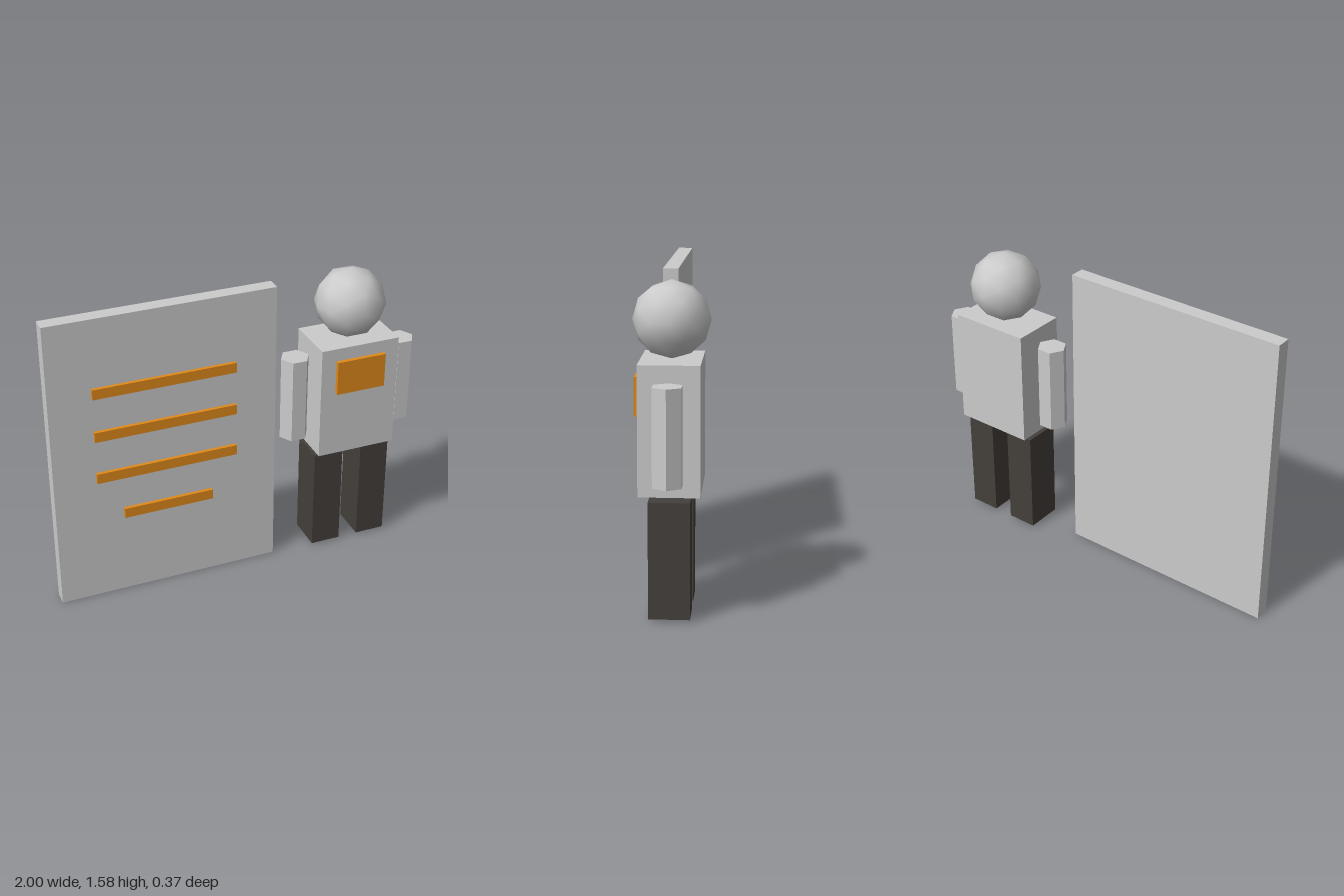
import * as THREE from 'three';

export function createModel() {
  const model = new THREE.Group();
  const grey = new THREE.MeshStandardMaterial({ color: 0xcccccc });
  const flatGrey = new THREE.MeshStandardMaterial({ color: 0xcccccc, flatShading: true });
  const orange = new THREE.MeshStandardMaterial({ color: 0xe08a1a });
  const dark = new THREE.MeshStandardMaterial({ color: 0x44403c });

  const add = (parent, name, geometry, material, x, y, z) => {
    const mesh = new THREE.Mesh(geometry, material);
    mesh.name = name;
    mesh.position.set(x, y, z);
    parent.add(mesh);
    return mesh;
  };
  const box = (w, h, d) => new THREE.BoxGeometry(w, h, d);

  // Sign: an upright slab with three long stripes and a short one
  const sign = new THREE.Group();
  sign.name = 'sign';
  model.add(sign);
  const signX = -0.409;
  const boardDepth = 0.077;
  add(sign, 'board', box(1.182, 1.583, boardDepth), grey, signX, 0.7915, boardDepth / 2);
  for (let i = 0; i < 4; i++) {
    const width = i < 3 ? 0.743 : 0.475;
    add(sign, 'stripe', box(width, 0.054, 0.019), orange, signX, 1.192 - i * 0.238, boardDepth + 0.0095);
  }

  // Figure standing beside the sign
  const figure = new THREE.Group();
  figure.name = 'figure';
  figure.position.x = 0.622;
  model.add(figure);
  add(figure, 'torso', box(0.431, 0.615, 0.289), grey, 0, 0.907, 0);
  add(figure, 'chestPanel', box(0.268, 0.184, 0.022), orange, 0, 1.054, 0.1555);
  add(figure, 'head', new THREE.IcosahedronGeometry(0.184, 1), grey, 0, 1.395, 0);

  // Six-sided arms with a corner pointing outward, and square legs
  for (const side of [1, -1]) {
    const name = side > 0 ? 'left' : 'right';
    const arm = new THREE.CylinderGeometry(0.077, 0.077, 0.46, 6).rotateY(Math.PI / 2);
    add(figure, name + 'Arm', arm, flatGrey, side * 0.3, 0.905, 0);
    add(figure, name + 'Leg', box(0.162, 0.565, 0.196), dark, side * 0.1345, 0.2925, 0);
  }
  return model;
}
